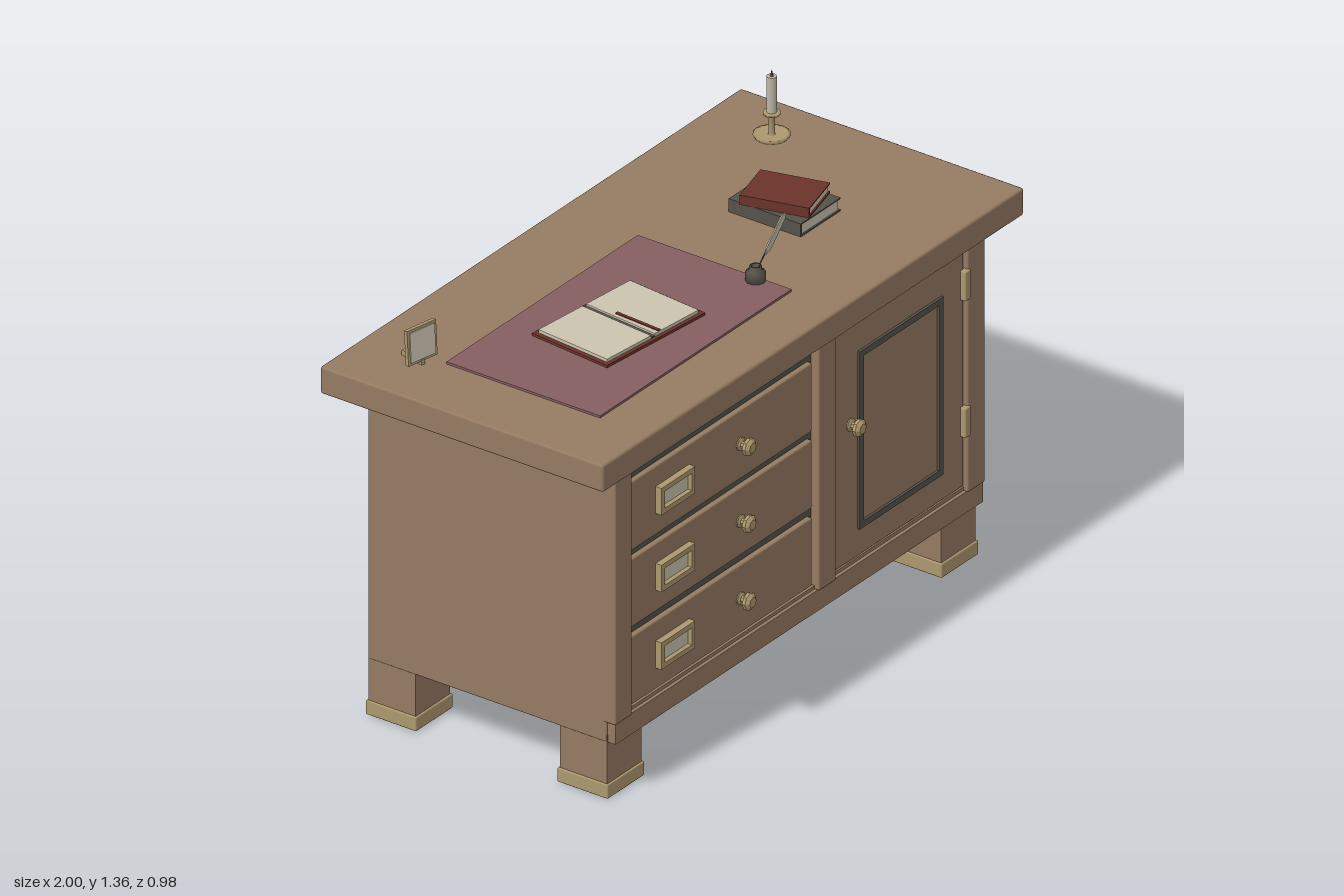
import * as THREE from 'three';
import { RoundedBoxGeometry } from 'three/addons/geometries/RoundedBoxGeometry.js';

const mat = (name, color, extra = {}) => {
  const m = new THREE.MeshStandardMaterial({ color, ...extra });
  m.name = name;
  return m;
};

export function createModel() {
  const wood = mat('wood', 0x967b63);
  const brass = mat('brass', 0xad986e);
  const dark = mat('dark recess', 0x55524a);
  const cream = mat('paper', 0xcbc4b0);
  const maroon = mat('maroon leather', 0x6b3329);
  const felt = mat('plum desk mat', 0x865f62);
  const wax = mat('wax', 0xbfb7a6);

  const desk = new THREE.Group();
  desk.name = 'desk';

  const add = (name, geo, m, x, y, z, parent = desk) => {
    const mesh = new THREE.Mesh(geo, m);
    mesh.name = name;
    mesh.position.set(x, y, z);
    parent.add(mesh);
    return mesh;
  };
  // Box given by its limits, with an optional softened edge
  const box = (name, m, x0, x1, y0, y1, z0, z1, bevel = 0, parent = desk) => {
    const s = [x1 - x0, y1 - y0, z1 - z0];
    const geo = bevel ? new RoundedBoxGeometry(...s, 1, bevel) : new THREE.BoxGeometry(...s);
    return add(name, geo, m, (x0 + x1) / 2, (y0 + y1) / 2, (z0 + z1) / 2, parent);
  };
  // Rectangular ring lying in the xy plane
  const ring = (name, m, w, h, t, depth, x, y, z, parent = desk) => {
    const rect = (C, a, b) => new C([
      new THREE.Vector2(-a, -b), new THREE.Vector2(a, -b),
      new THREE.Vector2(a, b), new THREE.Vector2(-a, b)]);
    const s = rect(THREE.Shape, w / 2, h / 2);
    s.holes.push(rect(THREE.Path, w / 2 - t, h / 2 - t));
    return add(name, new THREE.ExtrudeGeometry(s, { depth, bevelEnabled: false }), m, x, y, z, parent);
  };
  const lathe = (name, m, pts, sides, x, y, z, parent = desk) =>
    add(name, new THREE.LatheGeometry(pts.map(p => new THREE.Vector2(...p)), sides), m, x, y, z, parent);
  const group = (name, x, y, z, ry = 0) => {
    const g = new THREE.Group();
    g.name = name;
    g.position.set(x, y, z);
    g.rotation.y = ry;
    desk.add(g);
    return g;
  };

  // Carcass and worktop
  box('worktop', wood, -1, 1, 1.055, 1.142, -0.491, 0.491, 0.008);
  box('cabinet', wood, -0.877, 0.877, 0.178, 1.035, -0.415, 0.413, 0.006);
  box('recess', dark, -0.81, 0.81, 0.245, 1.022, 0.41, 0.418);
  box('bottomRail', wood, -0.872, 0.872, 0.178, 0.245, 0.40, 0.441);
  for (const [a, b] of [[-0.88, -0.8], [0.088, 0.17], [0.795, 0.877]])
    box('frontStile', wood, a, b, 0.243, 1.032, 0.40, 0.446, 0.005);
  box('lowerLip', wood, -0.8, 0.8, 0.245, 0.256, 0.40, 0.43);

  // Legs with brass shoes
  for (const sx of [-1, 1]) for (const sz of [-1, 1]) {
    const leg = group('leg', sx * 0.793, 0, sz * 0.332);
    box('legPost', wood, -0.082, 0.082, 0.03, 0.2, -0.082, 0.082, 0, leg);
    box('legShoe', brass, -0.088, 0.088, 0, 0.045, -0.088, 0.088, 0.004, leg);
  }

  // Faceted knob pointing forward
  const knob = (x, y, z) => {
    const k = lathe('knob', brass,
      [[0, 0], [0.02, 0], [0.02, 0.005], [0.011, 0.009], [0.011, 0.02], [0.027, 0.026],
        [0.027, 0.036], [0.016, 0.045], [0, 0.045]], 8, x, y, z);
    k.rotation.x = Math.PI / 2;
    k.geometry = k.geometry.toNonIndexed();
    k.geometry.computeVertexNormals();
  };

  // Drawers with label holders
  for (const [y0, y1] of [[0.757, 0.977], [0.512, 0.73], [0.264, 0.482]]) {
    const c = (y0 + y1) / 2 + 0.003;
    box('drawer', wood, -0.798, 0.072, y0, y1, 0.405, 0.434, 0.005);
    ring('labelHolder', brass, 0.16, 0.086, 0.016, 0.022, -0.593, c, 0.433);
    box('label', cream, -0.66, -0.526, c - 0.035, c + 0.035, 0.433, 0.441);
    knob(-0.27, c, 0.433);
  }

  // Door with inset moulding and hinges
  box('door', wood, 0.173, 0.792, 0.262, 1.01, 0.405, 0.434, 0.005);
  ring('doorMoulding', dark, 0.398, 0.568, 0.02, 0.012, 0.485, 0.634, 0.43);
  knob(0.253, 0.698, 0.433);
  for (const y of [0.91, 0.473]) {
    box('hinge', brass, 0.775, 0.802, y - 0.047, y + 0.047, 0.43, 0.452, 0.004);
  }

  // Desk mat
  box('deskMat', felt, -0.78, 0.13, 1.138, 1.149, -0.213, 0.32);

  // Open book with ribbon
  const open = group('openBook', -0.325, 1.149, 0.052, -0.1);
  box('openCover', maroon, -0.206, 0.206, 0, 0.008, -0.141, 0.141, 0, open);
  for (const s of [-1, 1])
    box('openPages', cream, s * 0.1 - 0.092, s * 0.1 + 0.092, 0.008, 0.018, -0.129, 0.129, 0, open);
  box('bookGutter', dark, -0.008, 0.008, 0.008, 0.012, -0.129, 0.129, 0, open);
  const ribbon = box('ribbon', maroon, 0.022, 0.032, 0.018, 0.021, -0.03, 0.127, 0, open);
  ribbon.rotation.y = 0.03;

  // Closed books, spine on the right-hand side of the model
  const book = (name, cover, w, h, d, x, y, z, ry) => {
    const g = group(name, x, y, z, ry);
    const t = 0.004;
    box('lowerCover', cover, -w / 2, w / 2, 0, t, -d / 2, d / 2, 0, g);
    box('upperCover', cover, -w / 2, w / 2, h - t, h, -d / 2, d / 2, 0, g);
    box('spine', cover, -w / 2, -w / 2 + 0.007, t, h - t, -d / 2, d / 2, 0, g);
    box('pages', cream, -w / 2 + 0.007, w / 2 - 0.005, t, h - t, -d / 2 + 0.005, d / 2 - 0.005, 0, g);
  };
  book('greyBook', dark, 0.19, 0.042, 0.25, 0.494, 1.142, 0.03, 0);
  book('maroonBook', maroon, 0.16, 0.031, 0.21, 0.492, 1.184, 0.032, 0.255);

  // Inkwell and quill
  lathe('inkwell', dark, [[0, 0], [0.029, 0], [0.029, 0.036], [0.018, 0.038],
    [0.018, 0.054], [0.012, 0.054], [0.01, 0.03], [0, 0.03]], 10, 0.112, 1.142, 0.208);
  const quill = group('quill', 0.112, 1.172, 0.208);
  quill.quaternion.setFromUnitVectors(new THREE.Vector3(0, 1, 0),
    new THREE.Vector3(0.088, 0.165, 0.034).normalize());
  add('quillShaft', new THREE.CylinderGeometry(0.003, 0.002, 0.18, 6), dark, 0, 0.09, 0, quill);
  const vane = new THREE.Shape([[0, 0.06], [0.013, 0.075], [0.014, 0.175], [0.004, 0.19],
    [-0.011, 0.18], [-0.013, 0.075]].map(p => new THREE.Vector2(...p)));
  add('quillVane', new THREE.ExtrudeGeometry(vane, { depth: 0.004, bevelEnabled: false }),
    cream, 0, 0, 0.001, quill);

  // Candlestick
  const stick = group('candlestick', 0.82, 1.142, -0.253);
  lathe('candleDish', brass, [[0, 0], [0.048, 0], [0.054, 0.012], [0.046, 0.012], [0.012, 0.008],
    [0.009, 0.012], [0.009, 0.07], [0.025, 0.074], [0.025, 0.082], [0, 0.082]], 16, 0, 0, 0, stick);
  add('candle', new THREE.CylinderGeometry(0.015, 0.015, 0.115, 12), wax, 0, 0.138, 0, stick);
  add('wick', new THREE.ConeGeometry(0.006, 0.022, 6), dark, 0, 0.205, 0, stick);

  // Picture frame with a rear foot
  const frame = group('pictureFrame', -0.82, 1.142, -0.267, -0.2);
  const panel = new THREE.Group();
  panel.name = 'framePanel';
  panel.rotation.x = -0.06;
  frame.add(panel);
  box('frameBack', brass, -0.055, 0.055, 0.012, 0.122, -0.008, 0.004, 0, panel);
  box('picture', cream, -0.047, 0.047, 0.02, 0.114, 0.004, 0.007, 0, panel);
  box('frameFoot', brass, -0.007, 0.007, 0, 0.016, -0.078, 0.004, 0, frame);

  return desk;
}
